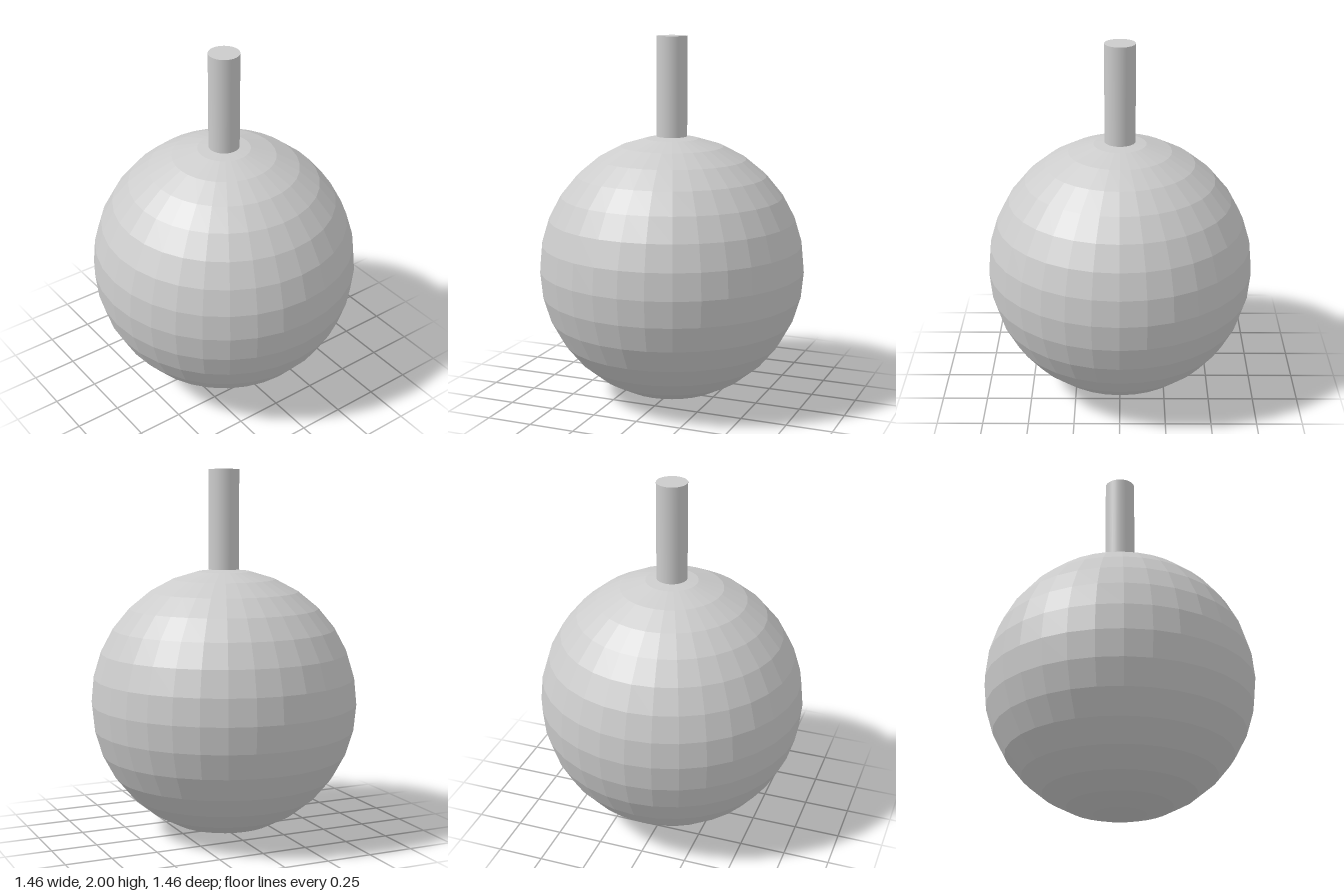
import * as THREE from 'three';

export function createModel() {
  const group = new THREE.Group();
  const radius = 0.731;
  const stemBottom = 1.46;
  const stemTop = 2;

  // Faceted round body resting on the ground
  const body = new THREE.Mesh(
    new THREE.SphereGeometry(radius, 32, 16),
    new THREE.MeshStandardMaterial({ color: 0xcccccc, flatShading: true })
  );
  body.name = 'body';
  body.position.y = radius;
  group.add(body);

  // Smooth upright stem standing on top of the body
  const stem = new THREE.Mesh(
    new THREE.CylinderGeometry(0.083, 0.083, stemTop - stemBottom, 32),
    new THREE.MeshStandardMaterial({ color: 0xcccccc })
  );
  stem.name = 'stem';
  stem.position.y = (stemTop + stemBottom) / 2;
  group.add(stem);

  return group;
}
